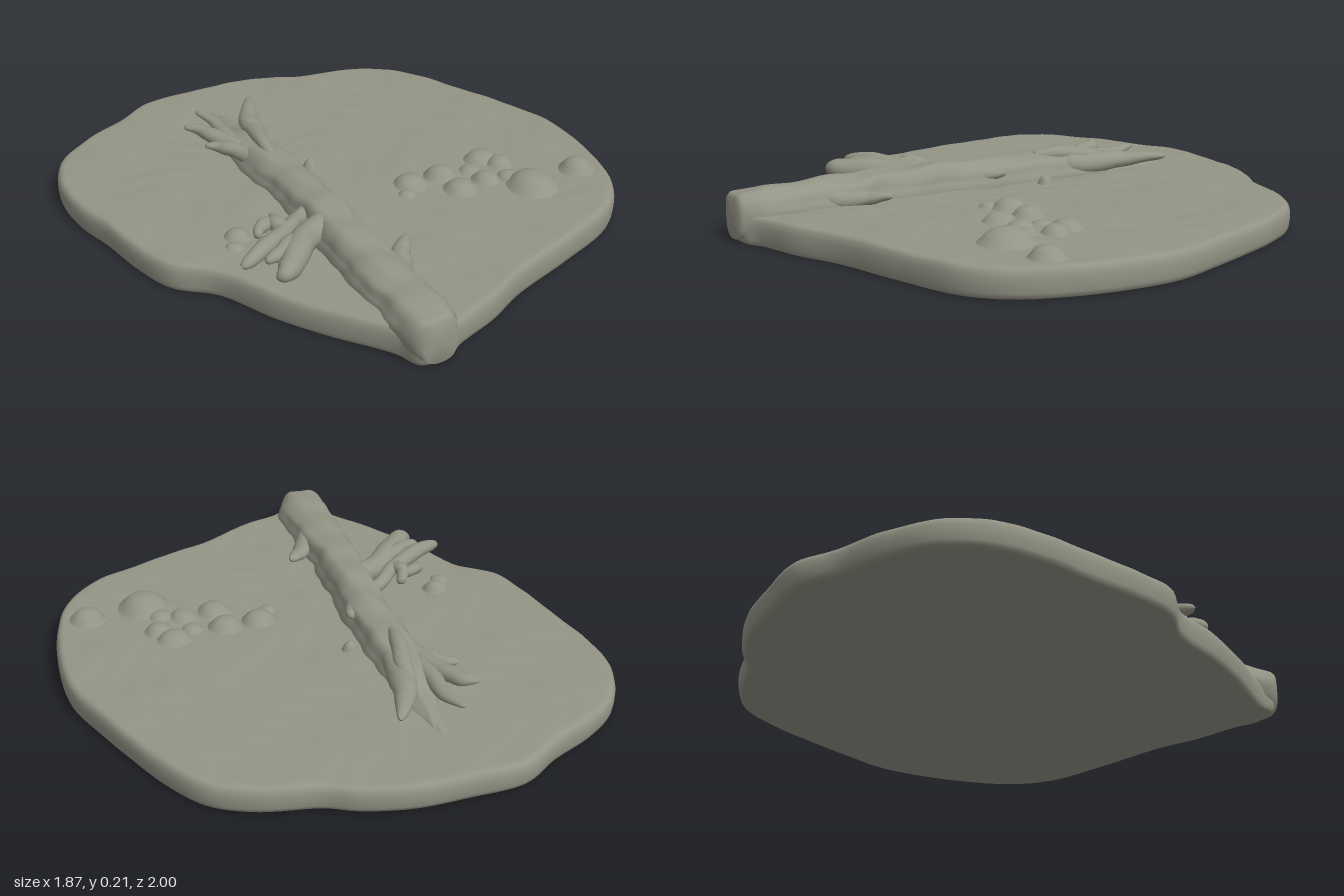
import * as THREE from 'three';

const material = new THREE.MeshStandardMaterial({ color: 0x949486, roughness: 1 });
const V = (x, y, z) => new THREE.Vector3(x, y, z);

// gentle uneven clay surface
const bumps = (x, z) =>
  0.003 * Math.sin(13 * x + 5 * z) * Math.sin(11 * z - 4 * x + 1) +
  0.0015 * Math.sin(29 * x - 12 * z + 3 * Math.sin(7 * z)) * Math.sin(25 * z + 9 * x + 2 * Math.sin(9 * x));
const groundY = (x, z) => 0.106 - 0.008 * Math.max(0, -z) + bumps(x, z);

// skin closed loops of points: rows along the body, cols around it
function loft(name, rows, cols, point) {
  const pos = [], index = [];
  for (let r = 0; r < rows; r++)
    for (let c = 0; c < cols; c++) pos.push(...point(r / (rows - 1), c / cols, r).toArray());
  for (let r = 0; r < rows - 1; r++)
    for (let c = 0; c < cols; c++) {
      const a = r * cols + c, a2 = r * cols + (c + 1) % cols;
      index.push(a, a2, a + cols, a2, a2 + cols, a + cols);
    }
  const geo = new THREE.BufferGeometry();
  geo.setAttribute('position', new THREE.Float32BufferAttribute(pos, 3));
  geo.setIndex(index);
  geo.computeVertexNormals();
  const mesh = new THREE.Mesh(geo, material);
  mesh.name = name;
  return mesh;
}

// tapering, knobbly limb; each point is [x, y, z, radius]
function limb(name, pts) {
  const curve = new THREE.CatmullRomCurve3(pts.map(p => V(p[0], p[1], p[2])));
  const rows = 12 + pts.length * 8, up = V(0, 1, 0);
  return loft(name, rows, 16, (t, u) => {
    const f = t * (pts.length - 1), i = Math.min(Math.floor(f), pts.length - 2);
    const p = curve.getPoint(t), dir = curve.getTangent(t);
    const side = up.clone().cross(dir).normalize(), rise = dir.clone().cross(side);
    const a = u * Math.PI * 2;
    let r = THREE.MathUtils.lerp(pts[i][3], pts[i + 1][3], f - i);
    r *= Math.sqrt(Math.max(0, 1 - (2 * t - 1) ** 12)) + 0.001;
    r *= 1 + 0.08 * Math.sin(2 * a + 4 * t + p.x * 9) + 0.06 * Math.sin(15 * t + a);
    return p.addScaledVector(side, r * Math.cos(a)).addScaledVector(rise, r * 0.85 * Math.sin(a));
  });
}

// base slab: wavy outline, rounded rim, uneven top, flat underside
function makeSlab() {
  const outline = [
    [-0.4, -0.99], [-0.2, -1], [0, -0.995], [0.17, -0.95], [0.27, -0.9], [0.48, -0.85], [0.62, -0.77],
    [0.72, -0.62], [0.8, -0.43], [0.86, -0.27], [0.92, -0.08], [0.925, 0.1], [0.89, 0.32], [0.82, 0.5],
    [0.7, 0.62], [0.45, 0.72], [0.18, 0.81], [0.02, 0.89], [-0.15, 0.95], [-0.21, 0.985], [-0.32, 0.985],
    [-0.36, 0.89], [-0.5, 0.69], [-0.6, 0.52], [-0.7, 0.3], [-0.82, 0.18], [-0.87, 0.02], [-0.9, -0.18],
    [-0.935, -0.35], [-0.93, -0.55], [-0.85, -0.72], [-0.72, -0.82], [-0.55, -0.9]];
  const edge = new THREE.CatmullRomCurve3(outline.map(([x, z]) => V(x, 0, z)), true, 'centripetal');
  const cols = 240, steps = 50;
  const ring = Array.from({ length: cols }, (_, i) => edge.getPoint(i / cols));
  // rim rows: [scale, height as a fraction of the top]
  const rim = [[0.986, 0.97], [0.995, 0.88], [1, 0.7], [1, 0.45], [0.997, 0.2], [0.992, 0.06],
    [0.982, 0], [0.975, 0], [0, 0]];
  return loft('baseSlab', steps + rim.length, cols, (t, u, r) => {
    const [s, h] = r < steps ? [0.975 * r / (steps - 1), 1] : rim[r - steps];
    const p = ring[Math.round(u * cols)].clone().multiplyScalar(s);
    p.y = h * groundY(p.x, p.z);
    return p;
  });
}

// main log, half sunk in the slab; stations are [z, left x, right x, top y]
function makeLog() {
  const st = [[1, -0.325, -0.2, 0.165], [0.98, -0.345, -0.185, 0.18], [0.93, -0.352, -0.165, 0.183],
    [0.7, -0.345, -0.16, 0.188], [0.45, -0.33, -0.165, 0.195], [0.2, -0.305, -0.15, 0.203],
    [0, -0.295, -0.14, 0.193], [-0.2, -0.3, -0.14, 0.188], [-0.35, -0.3, -0.14, 0.18],
    [-0.48, -0.265, -0.15, 0.155], [-0.62, -0.23, -0.17, 0.12], [-0.74, -0.21, -0.19, 0.098]];
  const rows = 110;
  return loft('log', rows, 48, (t, u, r) => {
    const z = 1 - 1.74 * Math.max(0, (r - 1) / (rows - 2));
    let i = 0;
    while (i < st.length - 2 && st[i + 1][0] > z) i++;
    const k = THREE.MathUtils.clamp((st[i][0] - z) / (st[i][0] - st[i + 1][0]), 0, 1);
    const [left, right, top] = [1, 2, 3].map(j => THREE.MathUtils.lerp(st[i][j], st[i + 1][j], k));
    const mid = (left + right) / 2, half = (top - 0.012) / 2;
    if (r === 0) return V(mid, 0.012 + half, z); // closes the front end
    const a = -u * Math.PI * 2, c = Math.cos(a), s = Math.sin(a);
    const w = (right - left) / 2 * (1 + 0.05 * Math.sin(23 * z + 2 * a) + 0.03 * Math.sin(51 * z + a));
    const bark = 0.004 * Math.sin(5 * a + 9 * z) + 0.004 * Math.sin(29 * z + a);
    const y = 0.012 + half + half * Math.sign(s) * Math.abs(s) ** 0.65 + Math.max(0, s) * bark;
    // flare where the log meets the ground
    const flare = 0.018 * Math.exp(-(((y - 0.1) / 0.02) ** 2)) * Math.min(1, (1 - z) * 6);
    return V(mid + w * Math.sign(c) * Math.abs(c) ** 0.8 + Math.sign(c) * flare, y, z);
  });
}

// low rounded stone with a soft skirt that melts into the slab
function makeStone([x, z, r, top], i) {
  const profile = [[1.3, -0.15], [1.12, 0.08], [0.98, 0.26], [0.84, 0.52], [0.66, 0.76], [0.45, 0.91], [0.22, 0.98], [0, 1]];
  const geo = new THREE.LatheGeometry(profile.map(([px, py]) => new THREE.Vector2(px, py)), 28);
  const mesh = new THREE.Mesh(geo, material);
  mesh.name = 'stone' + (i + 1);
  mesh.position.set(x, 0.101, z);
  mesh.scale.set(r, top - 0.101, r * (1 + 0.08 * Math.sin(i * 5)));
  return mesh;
}

export function createModel() {
  const model = new THREE.Group();
  model.name = 'fallenLogBase';
  model.add(makeSlab(), makeLog());

  // splintered far end of the log
  const splinters = new THREE.Group();
  splinters.name = 'splinters';
  [
    [[-0.18, 0.14, -0.3, 0.045], [-0.16, 0.142, -0.48, 0.045], [-0.125, 0.148, -0.59, 0.034], [-0.06, 0.155, -0.71, 0.014]],
    [[-0.26, 0.14, -0.28, 0.045], [-0.27, 0.135, -0.46, 0.036], [-0.265, 0.145, -0.6, 0.024], [-0.295, 0.155, -0.71, 0.012]],
    [[-0.26, 0.14, -0.34, 0.04], [-0.32, 0.148, -0.48, 0.034], [-0.35, 0.158, -0.55, 0.027], [-0.4, 0.165, -0.59, 0.012]],
    [[-0.25, 0.14, -0.26, 0.035], [-0.32, 0.145, -0.39, 0.03], [-0.385, 0.152, -0.44, 0.012]],
    [[-0.225, 0.18, -0.2, 0.02], [-0.215, 0.185, -0.28, 0.028], [-0.19, 0.175, -0.4, 0.03], [-0.18, 0.15, -0.52, 0.02]],
    [[-0.2, 0.1, -0.5, 0.035], [-0.2, 0.095, -0.66, 0.026], [-0.2, 0.088, -0.78, 0.012]],
  ].forEach((p, i) => splinters.add(limb('splinter' + (i + 1), p)));

  // broken branches on the right of the log, and stubs on the left
  const branches = new THREE.Group();
  branches.name = 'branches';
  [
    [[-0.25, 0.14, 0.26, 0.055], [-0.35, 0.145, 0.31, 0.05], [-0.45, 0.15, 0.4, 0.05], [-0.52, 0.15, 0.48, 0.042], [-0.57, 0.145, 0.5, 0.022]],
    [[-0.36, 0.15, 0.33, 0.035], [-0.45, 0.165, 0.36, 0.032], [-0.52, 0.165, 0.4, 0.026], [-0.57, 0.16, 0.41, 0.015]],
    [[-0.25, 0.135, 0.14, 0.035], [-0.33, 0.14, 0.19, 0.028], [-0.4, 0.155, 0.25, 0.03], [-0.52, 0.165, 0.33, 0.034], [-0.65, 0.155, 0.395, 0.024]],
    [[-0.42, 0.16, 0.28, 0.032], [-0.43, 0.165, 0.21, 0.028], [-0.4, 0.15, 0.15, 0.018]],
    [[-0.41, 0.16, 0.2, 0.025], [-0.48, 0.165, 0.21, 0.026], [-0.52, 0.155, 0.25, 0.015]],
    [[-0.2, 0.125, 0.68, 0.045], [-0.15, 0.125, 0.58, 0.036], [-0.11, 0.132, 0.52, 0.028], [-0.065, 0.14, 0.475, 0.014]],
    [[-0.19, 0.145, 0.08, 0.035], [-0.155, 0.15, 0.01, 0.028], [-0.135, 0.15, -0.03, 0.014]],
  ].forEach((p, i) => branches.add(limb('branch' + (i + 1), p)));

  // stones: [x, z, radius, top height]
  const stones = new THREE.Group();
  stones.name = 'stones';
  [
    [0.17, 0.13, 0.06, 0.143], [0.12, 0.19, 0.035, 0.122], [0.3, 0.13, 0.058, 0.142], [0.31, 0.25, 0.057, 0.138],
    [0.43, 0.24, 0.05, 0.135], [0.42, 0.15, 0.04, 0.122], [0.5, 0.1, 0.06, 0.138], [0.54, 0.17, 0.05, 0.138],
    [0.51, 0.27, 0.045, 0.13], [0.55, 0.36, 0.087, 0.157], [0.77, 0.34, 0.062, 0.147],
    [-0.08, -0.17, 0.028, 0.138], [-0.54, 0.14, 0.045, 0.135], [-0.58, 0.2, 0.035, 0.12],
  ].forEach((s, i) => stones.add(makeStone(s, i)));

  model.add(splinters, branches, stones);
  return model;
}
